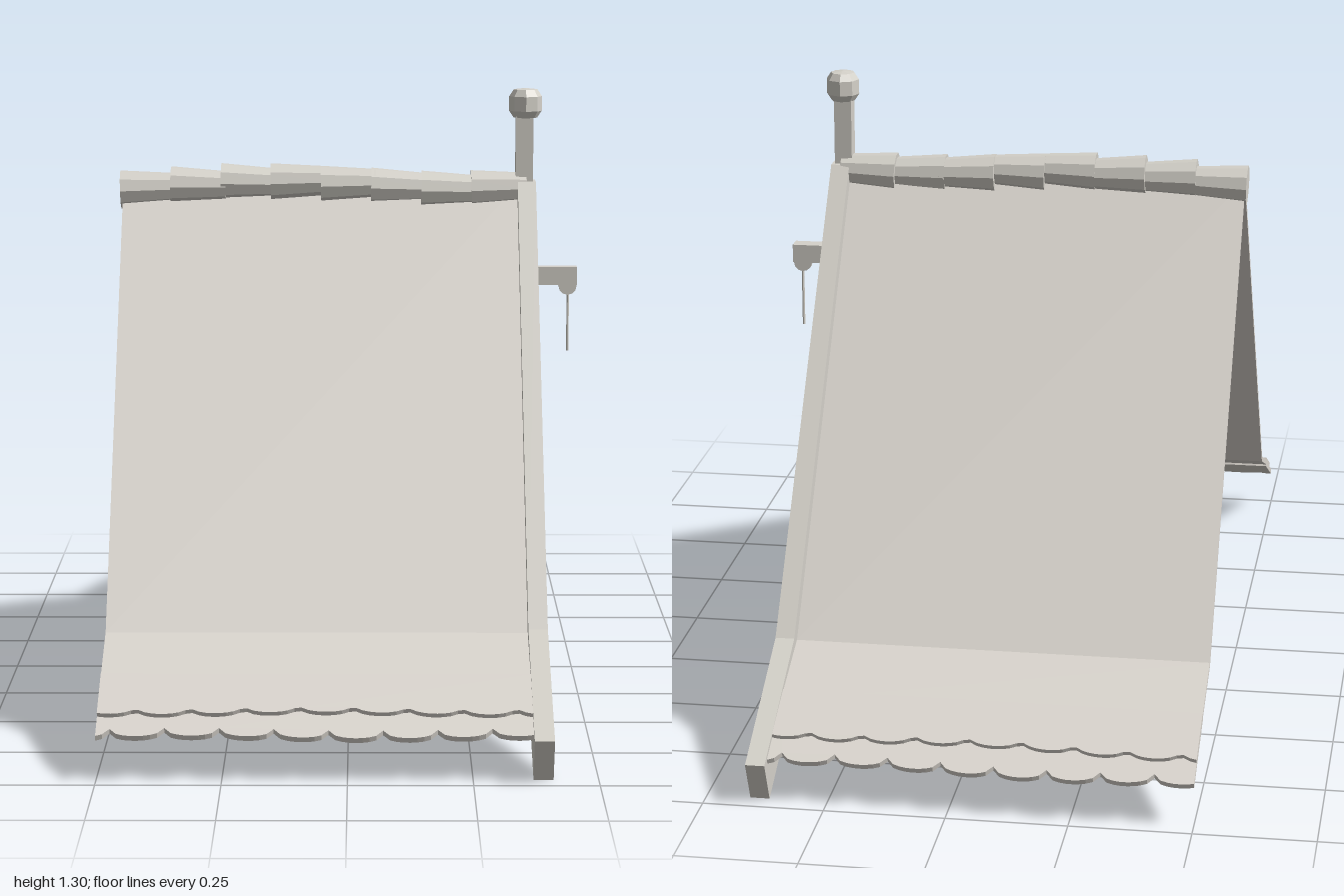
import * as THREE from 'three';

const mat = (name, color) => {
  const m = new THREE.MeshStandardMaterial({ color, flatShading: true });
  m.name = name;
  return m;
};

export function createModel() {
  const model = new THREE.Group();
  model.name = 'gabledDormer';
  const roofMat = mat('paleRoof', 0xdad5ce);
  const timber = mat('paleTimber', 0xd5d2ca);
  const plaster = mat('plaster', 0xd5cec8);
  const dark = mat('darkOpening', 0x2e2423);

  const add = (name, geo, material, x = 0, y = 0, z = 0, parent = model) => {
    const m = new THREE.Mesh(geo, material);
    m.name = name;
    m.position.set(x, y, z);
    parent.add(m);
    return m;
  };
  // box given by its extents
  const box = (name, material, x0, x1, y0, y1, z0, z1) =>
    add(name, new THREE.BoxGeometry(x1 - x0, y1 - y0, z1 - z0), material,
      (x0 + x1) / 2, (y0 + y1) / 2, (z0 + z1) / 2);
  // mirrored z-y outline, extruded along x from x0 to x1
  const profile = (name, material, half, x0, x1) => {
    const pts = half.map(([z, y]) => new THREE.Vector2(z, y));
    const shape = new THREE.Shape(pts);
    const geo = new THREE.ExtrudeGeometry(shape, { depth: x1 - x0, bevelEnabled: false });
    geo.rotateY(Math.PI / 2);
    return add(name, geo, material, x0);
  };
  const mirror = (pts) => pts.slice().reverse().map(([z, y]) => [-z, y]);

  // bent roof sheet
  const outer = [[0.002, 1.09], [0.665, 0.232], [0.835, 0.165]];
  const inner = [[0.83, 0.154], [0.658, 0.222], [0.002, 1.072]];
  profile('roofSheet', roofMat, [...mirror(outer), ...outer, ...inner, ...mirror(inner)], -0.5, 0.37);

  // barge boards framing the gable
  const bOut = [[0.03, 1.1], [0.692, 0.245], [1.0, 0.09], [0.958, 0.0]];
  const bIn = [[0.632, 0.16], [0.001, 0.972]];
  profile('bargeBoards', timber, [...mirror(bOut), ...bOut, ...bIn, ...mirror(bIn)], 0.37, 0.41);

  // scalloped tile rows along both eaves
  const scallops = (count, length, shift, thickness) => {
    const w = 0.87 / count, half = 0.435;
    const s = new THREE.Shape();
    s.moveTo(half, 0);
    s.lineTo(-half, 0);
    const steps = 64;
    for (let i = 0; i <= steps; i++) {
      const x = -half + (0.87 * i) / steps;
      const t = ((((x + half) / w + shift) % 1) + 1) % 1;
      const dip = Math.sqrt(Math.max(0, 1 - (2 * t - 1) ** 2));
      s.lineTo(x, -length + 0.024 * (1 - dip) + 0.004 * Math.sin(x * 9 + shift * 5));
    }
    return new THREE.ExtrudeGeometry(s, { depth: thickness, bevelEnabled: false });
  };
  for (const side of [0, 1]) {
    const eave = new THREE.Group();
    eave.name = side ? 'backEaveTiles' : 'frontEaveTiles';
    eave.position.x = -0.065;
    eave.rotation.y = side * Math.PI;
    model.add(eave);
    const tilt = -Math.PI / 2 + 0.43;
    add('upperTileRow', scallops(8, 0.125, 0.3, 0.012), roofMat, 0, 0.169, 0.805, eave).rotation.x = tilt;
    add('lowerTileRow', scallops(8, 0.19, 0.75, 0.012), roofMat, 0, 0.161, 0.8, eave).rotation.x = tilt;
  }

  // overlapping tapered ridge tiles
  const heights = [1.082, 1.089, 1.095, 1.098, 1.092, 1.085, 1.08, 1.083];
  heights.forEach((y, i) => {
    const geo = new THREE.CylinderGeometry(0.034, 0.043, 0.122, 10);
    geo.rotateZ(-Math.PI / 2);
    const tile = add('ridgeTile', geo, timber, -0.444 + i * 0.1105, y, 0.004 * Math.sin(i * 2.3));
    tile.rotation.z = 0.03 * Math.sin(i * 1.7 + 2);
  });

  // finial post with knob
  box('finialPost', timber, 0.366, 0.404, 1.07, 1.25, -0.019, 0.019);
  const knob = [[0, 1.238], [0.026, 1.24], [0.036, 1.255], [0.036, 1.287], [0.026, 1.302], [0, 1.305]]
    .map(([r, y]) => new THREE.Vector2(r, y));
  add('finialKnob', new THREE.LatheGeometry(knob, 8), timber, 0.387);

  // recessed gable wall and its bottom rail
  const wall = [[0.002, 1.075], [0.662, 0.222], [0.662, 0.12]];
  profile('gableWall', plaster, [...mirror(wall), ...wall], 0.15, 0.17);
  box('bottomRail', timber, 0.17, 0.245, 0.162, 0.205, -0.635, 0.635);

  // wall studs
  for (const s of [-1, 1]) {
    for (const [z, top] of [[0.242, 0.65], [0.486, 0.355]]) {
      box('wallStud', timber, 0.165, 0.2, 0.155, top, s * z - 0.013, s * z + 0.013);
    }
  }

  // window opening, frame and open shutter
  box('windowOpening', dark, 0.17, 0.176, 0.235, 0.615, -0.17, 0.18);
  for (const [y0, y1] of [[0.224, 0.242], [0.606, 0.624]])
    box('windowFrameRail', timber, 0.165, 0.215, y0, y1, -0.182, 0.188);
  for (const [z0, z1] of [[-0.182, -0.164], [0.17, 0.188]])
    box('windowFrameStile', timber, 0.165, 0.215, 0.224, 0.624, z0, z1);
  const shutter = add('shutter', new THREE.BoxGeometry(0.012, 0.37, 0.197), timber, 0.29, 0.425, 0.16);
  shutter.rotation.y = Math.atan2(0.08, 0.18);

  // bolster lying over the window sill
  const bolster = new THREE.CapsuleGeometry(0.035, 0.23, 5, 12);
  bolster.rotateX(Math.PI / 2);
  add('sillBolster', bolster, roofMat, 0.235, 0.28, 0.02);

  // hoist beam with pulley and rope
  box('hoistBeam', timber, 0.16, 0.503, 0.87, 0.91, -0.017, 0.017);
  const wheel = new THREE.CylinderGeometry(0.02, 0.02, 0.014, 12);
  wheel.rotateX(Math.PI / 2);
  add('pulley', wheel, timber, 0.483, 0.867, 0);
  add('rope', new THREE.CylinderGeometry(0.003, 0.003, 0.14, 6), timber, 0.484, 0.792, 0);

  return model;
}
